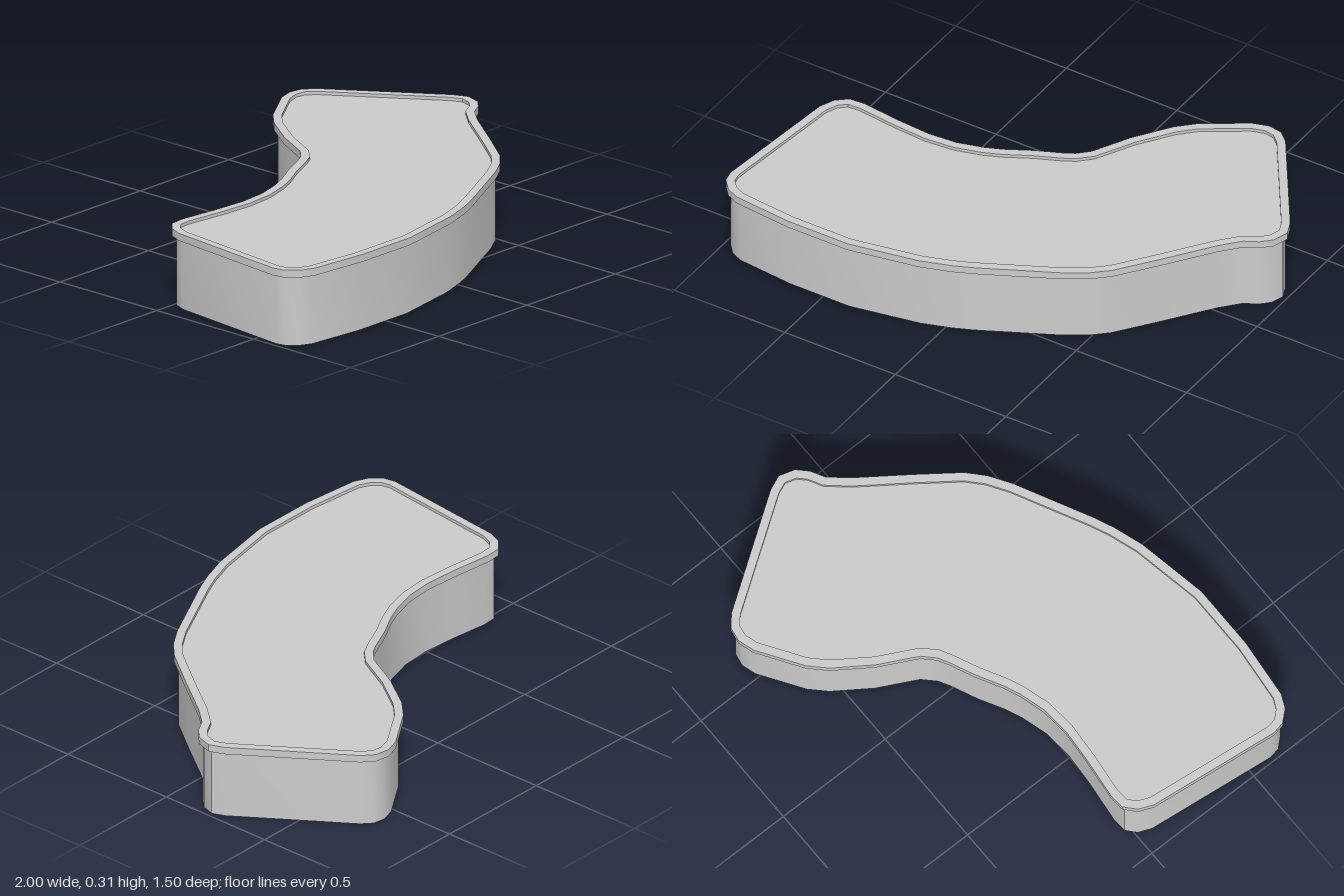
import * as THREE from 'three';
import { toCreasedNormals } from 'three/addons/utils/BufferGeometryUtils.js';

// Plan outline as [x, z] pairs, counter-clockwise seen from above
const OUTLINE = [
  [-1, 0.6], [-0.99, 0.65], [-0.95, 0.695], [-0.895, 0.72], [-0.65, 0.745], [-0.38, 0.745],
  [-0.09, 0.69], [0.03, 0.65], [0.11, 0.615], [0.415, 0.46], [0.5, 0.405], [0.565, 0.345],
  [0.68, 0.19], [0.82, -0.005], [0.885, -0.08], [0.94, -0.11], [0.98, -0.15], [1, -0.215],
  [0.975, -0.275], [0.68, -0.705], [0.635, -0.745], [0.575, -0.755], [0.51, -0.735],
  [0.335, -0.62], [0.27, -0.555], [0.17, -0.41], [0.09, -0.255], [0.045, -0.21], [0, -0.185],
  [-0.1, -0.14], [-0.2, -0.085], [-0.27, -0.055], [-0.375, -0.025], [-0.495, -0.015],
  [-0.635, -0.025], [-0.805, -0.045], [-0.87, -0.04], [-0.915, 0], [-0.94, 0.06],
].map(([x, z]) => new THREE.Vector2(x, -z));

// Moves every outline corner inwards by d along its mitre
function inset(d) {
  const n = OUTLINE.length;
  return OUTLINE.map((p, i) => {
    const a = p.clone().sub(OUTLINE[(i + n - 1) % n]).normalize();
    const b = OUTLINE[(i + 1) % n].clone().sub(p).normalize();
    const m = new THREE.Vector2(-a.y - b.y, a.x + b.x).normalize();
    const cos = m.x * -a.y + m.y * a.x;
    return p.clone().addScaledVector(m, d / cos);
  });
}

export function createModel() {
  const group = new THREE.Group();
  const grey = new THREE.MeshStandardMaterial({ color: 0xcccccc });

  // Upright slab from y0 to y1, optionally hollow
  function slab(name, points, y0, y1, hole) {
    const shape = new THREE.Shape(points);
    if (hole) shape.holes.push(new THREE.Path(hole));
    const geo = new THREE.ExtrudeGeometry(shape, { depth: y1 - y0, bevelEnabled: false });
    geo.rotateX(-Math.PI / 2).translate(0, y0, 0);
    const mesh = new THREE.Mesh(toCreasedNormals(geo, Math.PI / 5), grey);
    mesh.name = name;
    group.add(mesh);
  }

  // Body, whose top is the panel sunk inside the rim
  slab('body', inset(0.018), 0, 0.297);
  // Overhanging lip around the top edge
  slab('rim', OUTLINE, 0.28, 0.31, inset(0.034));

  return group;
}
